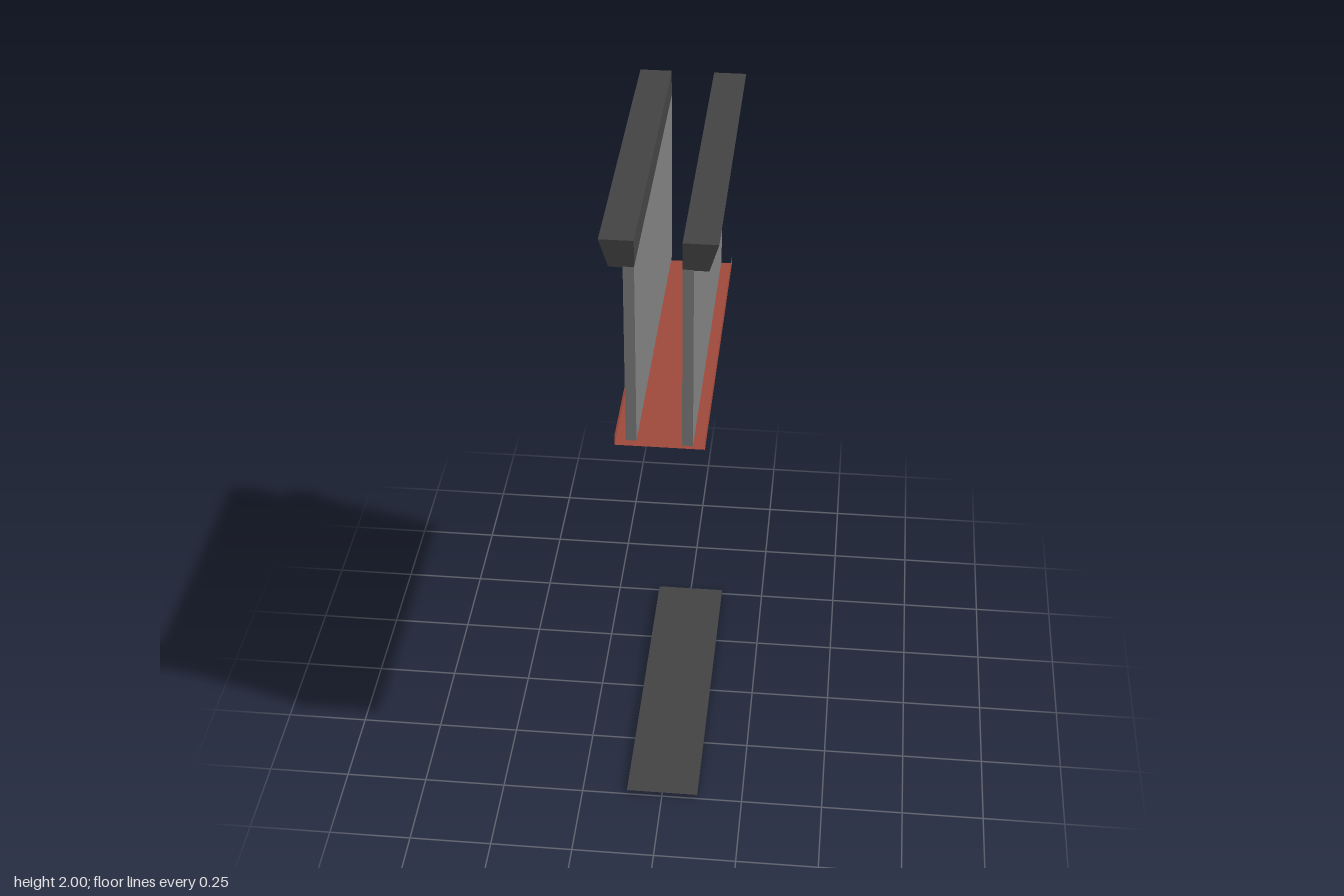
import * as THREE from 'three';

const LENGTH = 1;

export function createModel() {
  const model = new THREE.Group();
  const darkMetal = new THREE.MeshStandardMaterial({ name: 'darkMetal', color: 0x444444, side: THREE.DoubleSide });
  const greyPanel = new THREE.MeshStandardMaterial({ name: 'greyPanel', color: 0x808080 });
  const redSheet = new THREE.MeshStandardMaterial({ name: 'redSheet', color: 0xa04a3c, side: THREE.DoubleSide });

  const add = (name, geometry, material) => {
    const mesh = new THREE.Mesh(geometry, material);
    mesh.name = name;
    model.add(mesh);
    return mesh;
  };

  // Solid bar: a profile in x and y, run along z
  const bar = (name, points, material) => {
    const shape = new THREE.Shape(points.map(([x, y]) => new THREE.Vector2(x, y)));
    const geometry = new THREE.ExtrudeGeometry(shape, { depth: LENGTH, bevelEnabled: false });
    geometry.translate(0, 0, -LENGTH / 2);
    return add(name, geometry, material);
  };

  // Folded sheet: a flat web with a lip along each long edge, open at the ends
  const sheet = (name, halfWidth, webY, lipY, material) => {
    const profile = [[-halfWidth, lipY], [-halfWidth, webY], [halfWidth, webY], [halfWidth, lipY]];
    const positions = [];
    for (let i = 0; i < 3; i++) {
      const [x0, y0] = profile[i];
      const [x1, y1] = profile[i + 1];
      const a = [x0, y0, LENGTH / 2], b = [x1, y1, LENGTH / 2];
      const c = [x1, y1, -LENGTH / 2], d = [x0, y0, -LENGTH / 2];
      positions.push(...a, ...b, ...c, ...a, ...c, ...d);
    }
    const geometry = new THREE.BufferGeometry();
    geometry.setAttribute('position', new THREE.Float32BufferAttribute(positions, 3));
    geometry.computeVertexNormals();
    return add(name, geometry, material);
  };

  // Side panels, each capped with a tapered rail
  for (const side of [-1, 1]) {
    const label = side > 0 ? 'left' : 'right';
    const inner = side > 0 ? 0.062 : 0.064;
    const bottom = side > 0 ? 1.36 : 1.368;
    const panel = add(label + 'Panel', new THREE.BoxGeometry(0.03, 1.922 - bottom, LENGTH), greyPanel);
    panel.position.set(side * (inner + 0.015), (1.922 + bottom) / 2, 0);
    bar(label + 'Rail', [
      [side * inner, 1.92], [side * 0.132, 1.92], [side * 0.157, 2], [side * inner, 2],
    ], darkMetal);
  }

  // Tray under the panels with lips turned up, and base cover with lips turned down
  sheet('tray', 0.125, 1.35, 1.381, redSheet);
  sheet('baseCover', 0.11, 0.016, 0, darkMetal);

  return model;
}
